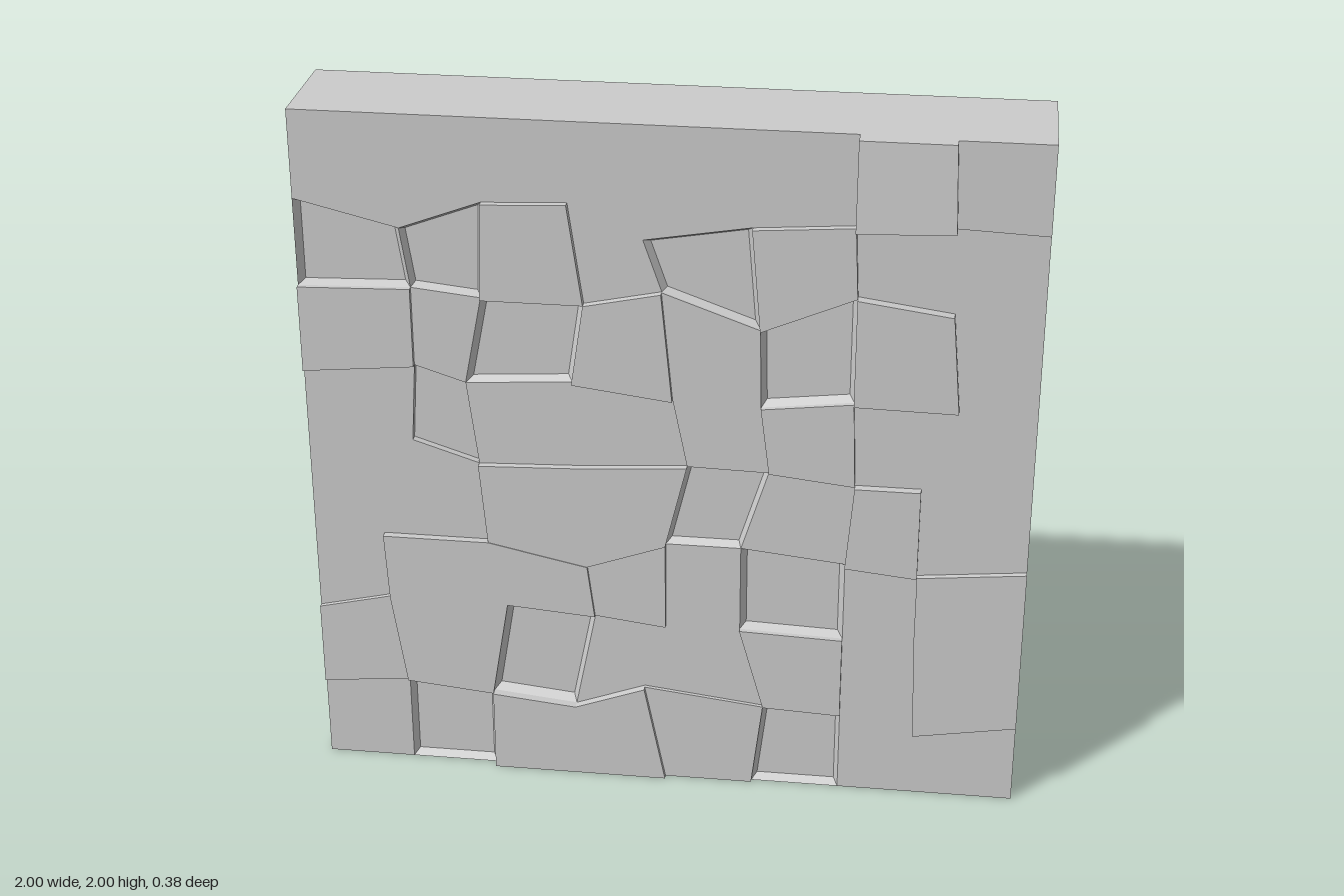
import * as THREE from 'three';

const N = 8, CELL = 0.25, FLOOR = 0.103, RIM = 0.127, BACK = -0.19;
const mat = new THREE.MeshStandardMaterial({ color: 0xcccccc, flatShading: true });
const thinMat = new THREE.MeshStandardMaterial({ color: 0xcccccc, flatShading: true, side: THREE.DoubleSide });

// shifts of the inner grid corners in hundredths, row by row from the bottom: across, then up
const shiftX = [
  [0, 0, -1, -6, 3, 0, -4],
  [-4, 5, 5, 0, -4, 0, -5],
  [-5, 0, 3, 0, -4, 0, -5],
  [4.5, -2, 0, 6, 3.5, 2, -5],
  [6, -5, -0.5, 2, 1, 1, 4],
  [6, 0, 3, -1, 0.5, 1, 1.5],
  [3.5, 1, -1, -6, -2, 0, 1],
];
const shiftY = [
  [2.5, 0, -2.5, 5, 1, 0, -5],
  [5, 5, 3, 0.5, 1, 0, 0],
  [0, 0, -6, 2, 2, -1, -3],
  [5, -1, 0, 2, 1.5, -1, -1],
  [3, -1.5, 0.5, -3, -4, -1, -1.5],
  [1, -1, -1, 3.5, -6, 5, 1.5],
  [-7, 1.5, 2.5, -7, -2, 0, 1],
];

// front of each stone in thousandths, row by row from the bottom; 0 is a sunken panel
const heights = [
  [127, 0, 153, 153, 138, 0, 127, 127],
  [140, 150, 0, 127, 127, 142, 127, 145],
  [127, 150, 150, 140, 127, 0, 127, 145],
  [127, 127, 148, 148, 0, 127, 153, 127],
  [127, 105, 127, 127, 134, 142, 127, 127],
  [142, 127, 0, 150, 134, 0, 158, 127],
  [0, 0, 148, 127, 0, 148, 127, 127],
  [127, 127, 127, 127, 127, 127, 188, 142],
];

// a grid corner; those on the outer border stay in place
function corner(col, row) {
  const dx = shiftX[row - 1]?.[col - 1] ?? 0;
  const dy = shiftY[row - 1]?.[col - 1] ?? 0;
  return new THREE.Vector2(-1 + col * CELL + dx / 100, row * CELL + dy / 100);
}

// a stone with a vertical edge; slope tips its front back towards the top
function stoneGeometry(pts, top, slope) {
  const g = new THREE.ExtrudeGeometry(new THREE.Shape(pts), { depth: top - FLOOR, bevelEnabled: false });
  g.translate(0, 0, FLOOR);
  const p = g.attributes.position;
  for (let k = 0; k < p.count; k++) {
    if (p.getZ(k) > FLOOR + 0.001) p.setZ(k, top - slope * (p.getY(k) - pts[0].y));
  }
  g.computeVertexNormals();
  return g;
}

// sloping walls from the rim of a sunken panel down to its floor
function panelGeometry(rim) {
  const middle = new THREE.Vector2();
  rim.forEach((p) => middle.addScaledVector(p, 1 / rim.length));
  const foot = rim.map((p) => p.clone().lerp(middle, 0.11));
  const pos = [];
  rim.forEach((p, i) => {
    const j = (i + 1) % rim.length;
    const a = [p.x, p.y, RIM], b = [rim[j].x, rim[j].y, RIM];
    const c = [foot[j].x, foot[j].y, FLOOR], d = [foot[i].x, foot[i].y, FLOOR];
    pos.push(...a, ...b, ...c, ...a, ...c, ...d);
  });
  const g = new THREE.BufferGeometry();
  g.setAttribute('position', new THREE.Float32BufferAttribute(pos, 3));
  g.computeVertexNormals();
  return g;
}

export function createModel() {
  const group = new THREE.Group();
  const add = (name, geometry, material) => {
    const mesh = new THREE.Mesh(geometry, material);
    mesh.name = name;
    group.add(mesh);
  };

  // solid slab, whose front is the floor of the sunken panels
  const slab = new THREE.BoxGeometry(2, 2, FLOOR - BACK);
  add('wallSlab', slab.translate(0, 1, (FLOOR + BACK) / 2), mat);

  // uneven stones and sunken panels over the front
  for (let row = 0; row < N; row++) {
    for (let col = 0; col < N; col++) {
      const pts = [corner(col, row), corner(col + 1, row), corner(col + 1, row + 1), corner(col, row + 1)];
      const top = heights[row][col] / 1000;
      if (top === 0) {
        add(`sunkenPanel${row + 1}x${col + 1}`, panelGeometry(pts), thinMat);
      } else {
        // the most prominent stone leans back
        const slope = top > 0.16 ? 0.05 : 0;
        add(`stone${row + 1}x${col + 1}`, stoneGeometry(pts, top, slope), mat);
      }
    }
  }
  return group;
}
